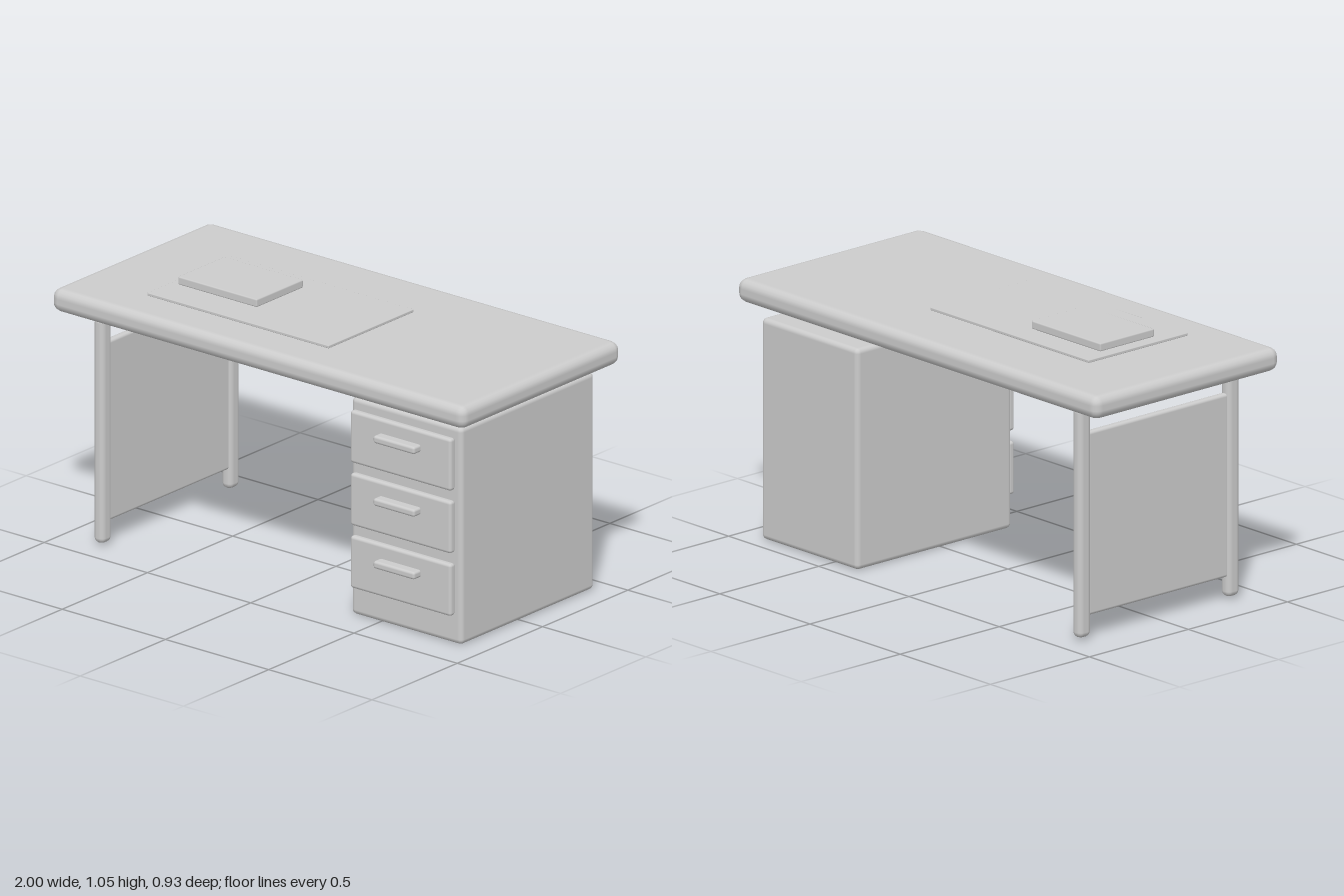
import * as THREE from 'three';
import { RoundedBoxGeometry } from 'three/addons/geometries/RoundedBoxGeometry.js';

const grey = new THREE.MeshStandardMaterial({ color: 0xcccccc });
grey.name = 'light grey';

// Soft-edged box given by its extents on each axis
function softBox(name, [x0, x1], [y0, y1], [z0, z1], radius, segments = 2) {
  const geometry = new RoundedBoxGeometry(x1 - x0, y1 - y0, z1 - z0, segments, radius);
  const mesh = new THREE.Mesh(geometry, grey);
  mesh.name = name;
  mesh.position.set((x0 + x1) / 2, (y0 + y1) / 2, (z0 + z1) / 2);
  return mesh;
}

export function createModel() {
  const desk = new THREE.Group();
  desk.name = 'desk';

  // Table top
  desk.add(softBox('tableTop', [-1, 1], [0.913, 1.005], [-0.467, 0.467], 0.036));

  // Leg frame on the model's right: two posts and a panel between them
  const legFrame = new THREE.Group();
  legFrame.name = 'legFrame';
  for (const [name, z] of [['frontLeg', 0.375], ['backLeg', -0.375]]) {
    legFrame.add(softBox(name, [-0.845, -0.795], [0.01, 0.912], [z - 0.031, z + 0.031], 0.022));
  }
  legFrame.add(softBox('sidePanel', [-0.835, -0.805], [0.09, 0.81], [-0.355, 0.355], 0.012));
  desk.add(legFrame);

  // Drawer cabinet with three drawers
  const cabinet = new THREE.Group();
  cabinet.name = 'cabinet';
  cabinet.add(softBox('cabinetBody', [0.36, 0.896], [0, 0.867], [-0.433, 0.35], 0.02));
  for (const y of [0.724, 0.474, 0.224]) {
    const drawer = new THREE.Group();
    drawer.name = 'drawer';
    drawer.add(softBox('drawerFront', [0.385, 0.873], [y - 0.104, y + 0.104], [0.355, 0.386], 0.012));
    drawer.add(softBox('drawerHandle', [0.53, 0.73], [y + 0.02, y + 0.05], [0.38, 0.427], 0.01));
    cabinet.add(drawer);
  }
  desk.add(cabinet);

  // Desk mat and closed book
  desk.add(softBox('deskMat', [-0.667, 0.212], [1.007, 1.019], [-0.2, 0.3], 0.003, 1));
  desk.add(softBox('book', [-0.628, -0.245], [1.022, 1.055], [-0.106, 0.168], 0.006, 1));

  return desk;
}
